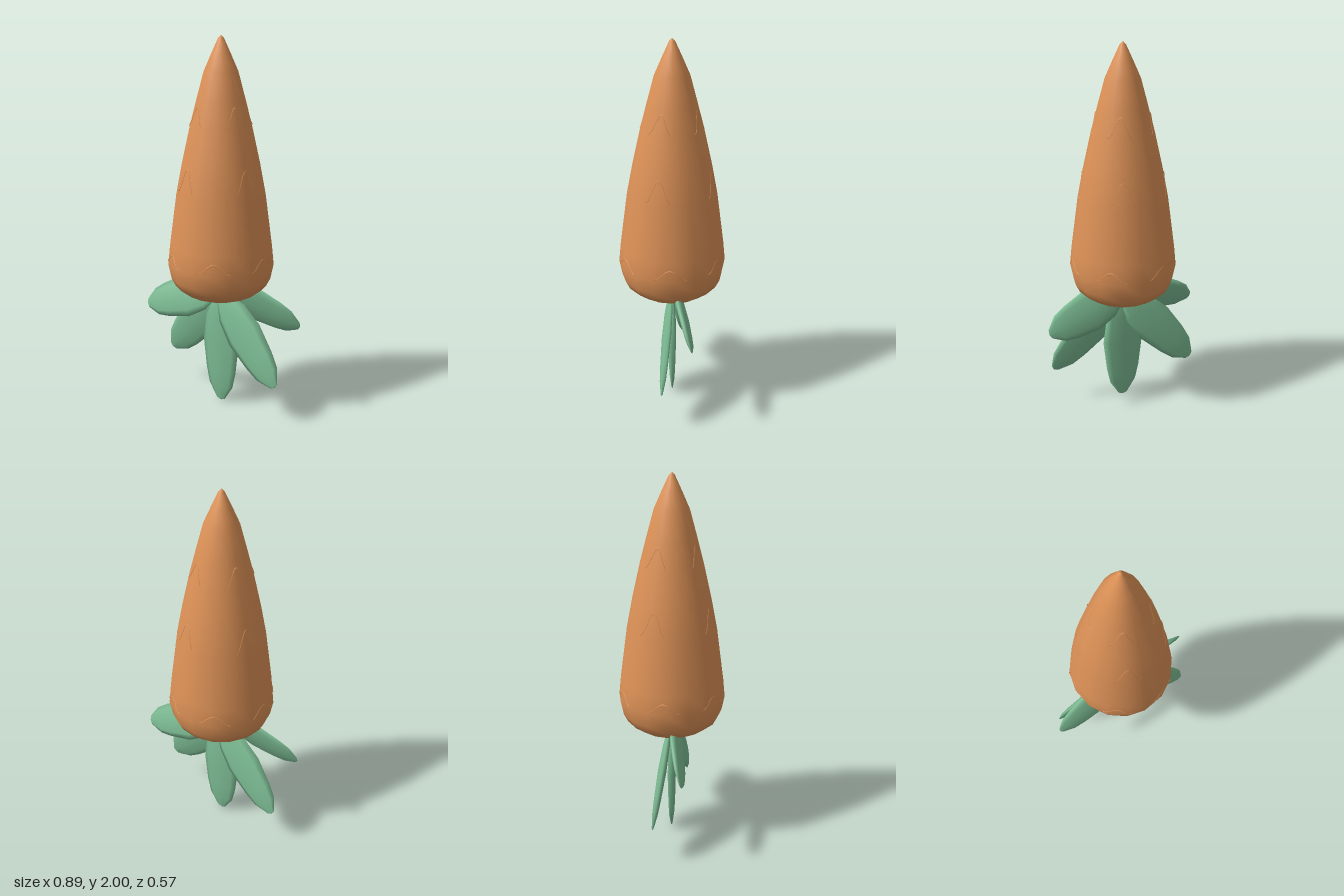
import * as THREE from 'three';

const SIDES = 16;
// Root profile, crown to tip: [radius, height]
const PROFILE = [
  [0, 0.63], [0.14, 0.632], [0.185, 0.65], [0.245, 0.695], [0.268, 0.74], [0.284, 0.82],
  [0.274, 0.92], [0.236, 1.2], [0.205, 1.36], [0.162, 1.55], [0.128, 1.68],
  [0.09, 1.82], [0.05, 1.91], [0.015, 1.985], [0, 2],
];

// Distance from the axis to the faceted root at a height and angle
function surfaceRadius(y, angle) {
  let i = 1;
  while (i < PROFILE.length - 1 && PROFILE[i][1] < y) i++;
  const [r0, y0] = PROFILE[i - 1], [r1, y1] = PROFILE[i];
  const r = r0 + (r1 - r0) * (y - y0) / (y1 - y0);
  const step = 2 * Math.PI / SIDES;
  const a = ((angle % step) + step) % step;
  return r * Math.cos(step / 2) / Math.cos(a - step / 2);
}

// Thin tapered ridge that arches over the skin of the root
function creaseGeometry(y, angle, span, rise) {
  const n = 12, pos = [], idx = [];
  for (let i = 0; i <= n; i++) {
    const t = i / n, bump = Math.sin(Math.PI * t);
    const a = angle + (t - 0.5) * span;
    const h = y + rise * bump * bump;
    const half = 0.001 + 0.007 * bump;
    for (const k of [-1, 0, 1]) {
      const r = surfaceRadius(h + k * half, a) + (k === 0 ? 0.004 : -0.002);
      pos.push(r * Math.sin(a), h + k * half, r * Math.cos(a));
    }
    if (i < n) {
      for (const k of [0, 1]) {
        const p = i * 3 + k;
        idx.push(p, p + 3, p + 1, p + 1, p + 3, p + 4);
      }
    }
  }
  const g = new THREE.BufferGeometry();
  g.setAttribute('position', new THREE.Float32BufferAttribute(pos, 3));
  g.setIndex(idx);
  g.computeVertexNormals();
  return g;
}

// Flattened pod pointing down from the origin, one unit long
function leafGeometry() {
  const points = [
    [0, -1], [0.025, -0.985], [0.075, -0.86], [0.095, -0.72], [0.115, -0.45],
    [0.095, -0.22], [0.05, -0.07], [0, 0],
  ].map(([r, y]) => new THREE.Vector2(r, y));
  return new THREE.LatheGeometry(points, 8).scale(1, 1, 0.2);
}

export function createModel() {
  const model = new THREE.Group();
  model.name = 'carrot';
  const orange = new THREE.MeshStandardMaterial({ color: 0xde9257 });
  orange.name = 'carrotOrange';
  const green = new THREE.MeshStandardMaterial({ color: 0x7dbd94 });
  green.name = 'leafGreen';

  // Root
  const root = new THREE.Mesh(
    new THREE.LatheGeometry(PROFILE.map(([r, y]) => new THREE.Vector2(r, y)), SIDES), orange);
  root.name = 'root';
  model.add(root);

  // Three broken rings of creases: height, count, first angle, span, rise
  const creases = new THREE.Group();
  creases.name = 'creases';
  for (const [y, count, start, span, rise] of [
    [0.83, 6, -0.6, 0.6, 0.05], [1.22, 4, -0.36, 0.6, 0.12], [1.55, 4, -0.45, 0.8, 0.1],
  ]) {
    for (let i = 0; i < count; i++) {
      const crease = new THREE.Mesh(
        creaseGeometry(y, start + i * 2 * Math.PI / count, span, rise), orange);
      crease.name = 'crease';
      creases.add(crease);
    }
  }
  model.add(creases);

  // Leaves: base, tip and the direction of the broad edge
  const geometry = leafGeometry();
  function addLeaf(name, base, tip, edge, turned) {
    const from = new THREE.Vector3(...base), to = new THREE.Vector3(...tip);
    const y = from.clone().sub(to);
    const length = y.length();
    y.normalize();
    const x = new THREE.Vector3(...edge);
    x.addScaledVector(y, -x.dot(y)).normalize();
    const z = new THREE.Vector3().crossVectors(x, y);
    const leaf = new THREE.Mesh(geometry, green);
    leaf.name = name;
    leaf.quaternion.setFromRotationMatrix(new THREE.Matrix4().makeBasis(x, y, z));
    leaf.position.copy(from);
    leaf.scale.y = length;
    const holder = new THREE.Group();
    holder.name = name + 'Holder';
    holder.rotation.y = turned ? Math.PI : 0;
    holder.add(leaf);
    model.add(holder);
  }
  addLeaf('middleLeaf', [0, 0.64, 0], [0, 0.005, 0], [1, 0, 0], false);
  for (const turned of [false, true]) {
    const side = turned ? 'right' : 'left';
    addLeaf(side + 'UpperLeaf', [0, 0.665, -0.02], [0.445, 0.515, -0.08], [0.3, 0.95, 0.3], turned);
    addLeaf(side + 'LowerLeaf', [0, 0.64, 0.01], [0.385, 0.21, 0.07], [0.72, 0.66, -0.1], turned);
  }
  return model;
}
